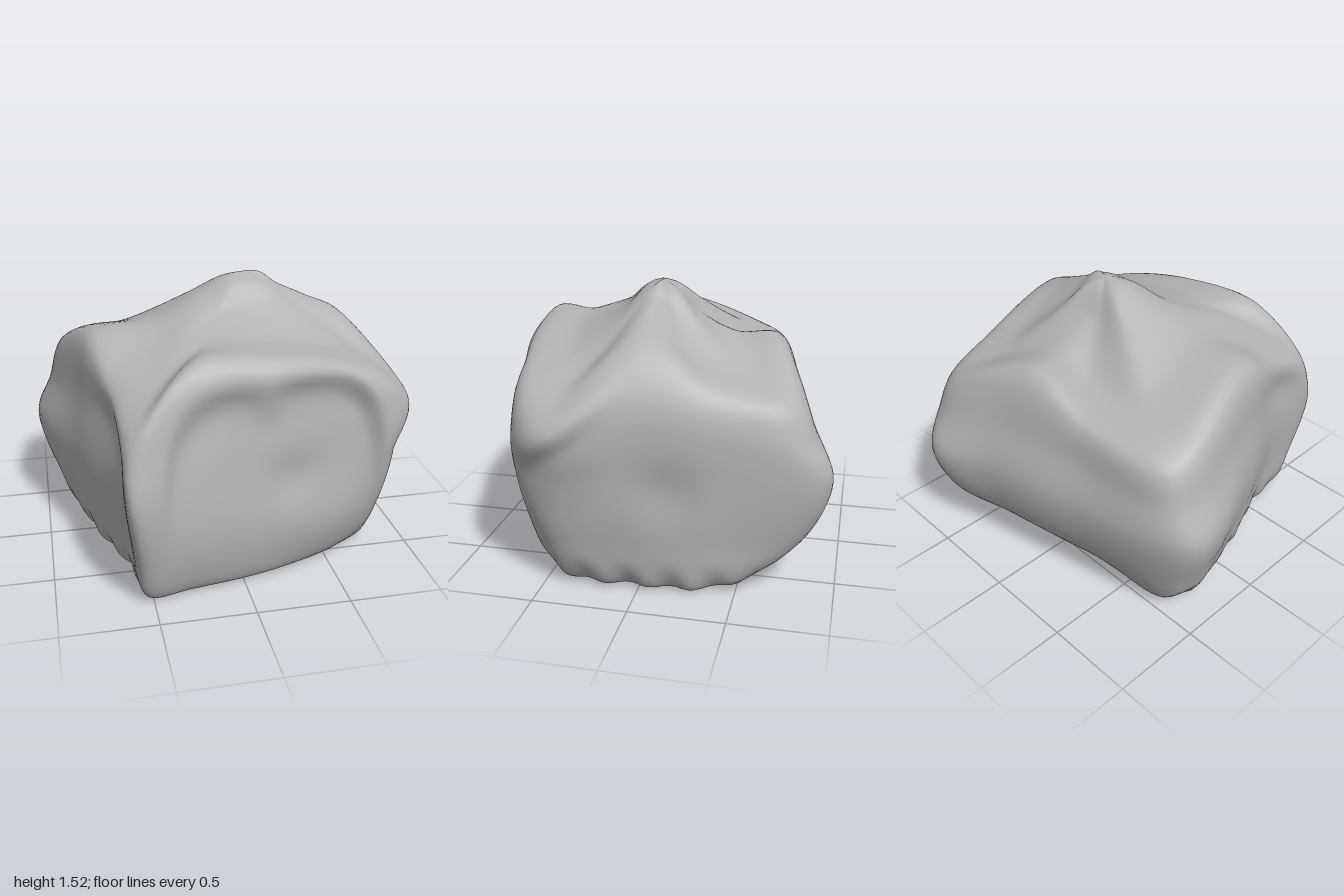
import * as THREE from 'three';

const stone = new THREE.MeshStandardMaterial({ color: 0xb3b3b3 });
stone.name = 'grey stone';

// Cross-sections as [x, z], starting at the front left corner and running
// along the front, right side, back and left side.
const foot = [[-.53, .8], [-.3, .77], [.1, .7], [.45, .58], [.69, .46], [.78, .34], [.79, .05],
  [.76, -.33], [.63, -.55], [.16, -.54], [-.3, -.5], [-.79, -.42], [-.72, .12], [-.58, .52]];
const low = [[-.57, .89], [-.33, .86], [.1, .78], [.5, .68], [.76, .56], [.85, .42], [.84, .05],
  [.78, -.4], [.59, -.83], [.18, -.77], [-.3, -.67], [-.91, -.46], [-.78, .15], [-.61, .58]];
const waist = [[-.61, .94], [-.38, .9], [.12, .8], [.5, .7], [.8, .63], [.9, .47], [.87, .08],
  [.8, -.4], [.6, -.95], [.2, -.86], [-.3, -.75], [-1, -.5], [-.82, .15], [-.64, .6]];
const shoulder = [[-.62, .9], [-.38, .87], [.12, .8], [.5, .71], [.86, .61], [1, .38], [.85, .04],
  [.79, -.4], [.62, -.86], [.16, -.78], [-.3, -.69], [-.91, -.52], [-.79, .15], [-.63, .58]];
const rim = [[-.58, .82], [-.3, .75], [.15, .71], [.5, .65], [.78, .57], [.87, .38], [.69, .02],
  [.72, -.4], [.6, -.74], [.06, -.63], [-.33, -.62], [-.82, -.51], [-.73, .13], [-.65, .5]];

// Heights of the uneven rings, in the same order.
const footY = [.04, .04, .04, .04, .04, .04, .04, .04, .06, .08, .08, .05, .04, .04];
const shoulderY = [.8, .9, .9, .9, .87, .87, 1.04, .96, .82, .9, .88, .82, .9, .87];
const rimY = [1, 1.25, 1.24, 1.17, 1.07, 1.03, 1.28, 1.09, 1.03, 1.23, 1.1, 1.04, 1.26, 1.1];
const outerY = [1.25, 1.29, 1.28, 1.25, 1.21, 1.22, 1.38, 1.21, 1.15, 1.25, 1.18, 1.2, 1.31, 1.29];
const innerY = [1.37, 1.38, 1.38, 1.38, 1.37, 1.39, 1.46, 1.37, 1.34, 1.36, 1.34, 1.38, 1.44, 1.42];
const tipY = innerY.map(y => 1.49 + (y - 1.38) * .4);
const peak = [.16, 0];

const ring = (outline, y, s = 1, c = peak) => outline.map(([x, z], i) => new THREE.Vector3(
  c[0] + (x - c[0]) * s, Array.isArray(y) ? y[i] : y, c[1] + (z - c[1]) * s));

const levels = [
  ring(foot, .02, 0, [0, 0]), ring(foot, .02, .45, [0, 0]), ring(foot, .02, .88, [0, 0]), ring(foot, footY),
  ring(low, .3), ring(waist, .62), ring(shoulder, shoulderY), ring(rim, rimY),
  ring(rim, outerY, .62), ring(rim, innerY, .3), ring(rim, tipY, .13), ring(rim, 1.53, 0),
];

// Arched hollow in the front face, deepest under its lip, plus a gouge and dents.
const smooth = THREE.MathUtils.smoothstep;
const blob = (a, b, r) => Math.exp(-(a * a + b * b) / (r * r));
function weather(p) {
  const { x, y, z } = p;
  if (z > .4 && y > .05) {
    const d = Math.pow(Math.abs((x - .16) / .62), 4) + Math.pow(Math.abs((y - .25) / .92), 4);
    p.z -= .08 * (1 - smooth(d, .5, 1.1)) * smooth(y, .2, 1);
    p.z -= .025 * blob(x - .25, y - .6, .13);
    p.z += .03 * blob(x - .1, y - 1.06, .09);
  }
  if (x > .6) {
    const along = (z - .35) * .8 - (y - .82) * .6, across = (z - .35) * .6 + (y - .82) * .8;
    p.x -= .04 * blob(along / 3.5, across, .07);
    p.x -= .03 * blob(z + .15, y - .58, .16);
  }
  // Scalloped foot on the left and right sides
  p.x *= 1 - .025 * (1 + Math.sin(z * 28)) * (1 - smooth(y, .02, .2)) * smooth(Math.abs(x), .4, .65);
  p.y = Math.max(p.y, 0);
  return p;
}

function boulderGeometry(around, up) {
  const rings = levels.map(l => new THREE.CatmullRomCurve3(l, true, 'centripetal'));
  const pos = [], index = [], top = around * (up + 1);
  for (let i = 0; i < around; i++) {
    const column = new THREE.CatmullRomCurve3(rings.map(r => r.getPoint(i / around)), false, 'centripetal');
    for (let j = 0; j <= up; j++) pos.push(...weather(column.getPoint(j / up)).toArray());
  }
  for (let i = 0; i < around; i++) {
    for (let j = 0; j < up; j++) {
      const a = i * (up + 1) + j, b = ((i + 1) % around) * (up + 1) + j;
      if (j > 0) index.push(a, b, a + 1);
      if (j < up - 1) index.push(b, b + 1, a + 1);
    }
    // The last row closes on one shared vertex to keep the summit smooth
    index[index.length - 1] = top;
  }
  pos.push(peak[0], 1.53, peak[1]);
  const g = new THREE.BufferGeometry();
  g.setAttribute('position', new THREE.Float32BufferAttribute(pos, 3));
  g.setIndex(index);
  g.computeVertexNormals();
  return g;
}

export function createModel() {
  const group = new THREE.Group();
  group.name = 'rock';
  const boulder = new THREE.Mesh(boulderGeometry(154, 88), stone);
  boulder.name = 'boulder';
  group.add(boulder);
  return group;
}
